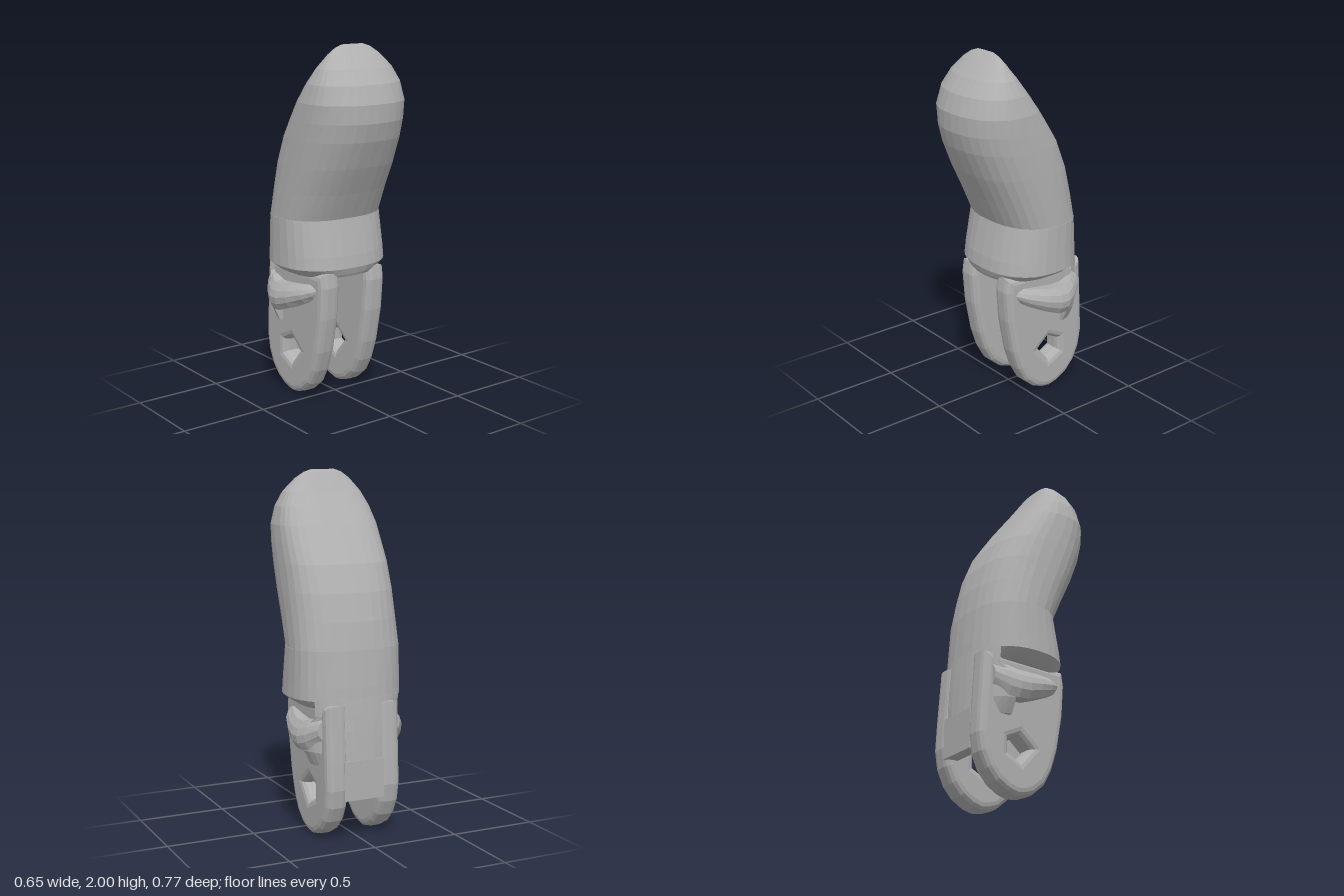
import * as THREE from 'three';

const grey = new THREE.MeshStandardMaterial({ color: 0xb0b0b0, flatShading: true });
grey.name = 'plain grey';

// Closed loft through rings [{ y, pts: [[x, z], ...] }], listed from low to high.
function loft(levels) {
  const pos = [];
  const rings = levels.map(({ y, pts }) => {
    const v = pts.map(([x, z]) => new THREE.Vector2(x, z));
    if (THREE.ShapeUtils.area(v) < 0) v.reverse();
    return { y, v };
  });
  const put = (ring, i) => pos.push(ring.v[i].x, ring.y, ring.v[i].y);
  for (let k = 0; k < rings.length - 1; k++) {
    const a = rings[k], b = rings[k + 1], n = a.v.length;
    for (let i = 0; i < n; i++) {
      const j = (i + 1) % n;
      put(a, i); put(b, i); put(a, j);
      put(a, j); put(b, i); put(b, j);
    }
  }
  [rings[0], rings[rings.length - 1]].forEach((ring, top) => {
    for (const f of THREE.ShapeUtils.triangulateShape(ring.v, [])) {
      const positive = THREE.ShapeUtils.area(f.map((i) => ring.v[i])) > 0;
      const order = positive === (top === 0) ? f : [f[0], f[2], f[1]];
      order.forEach((i) => put(ring, i));
    }
  });
  const g = new THREE.BufferGeometry();
  g.setAttribute('position', new THREE.Float32BufferAttribute(pos, 3));
  g.computeVertexNormals();
  return g;
}

const spow = (v, e) => Math.sign(v) * Math.abs(v) ** e;

// Rounded cross-section with separate squareness for front and back.
function oval([y, front, back, halfWidth, nFront = 2.4, nBack = 2.5]) {
  const mid = (front + back) / 2, depth = (front - back) / 2, pts = [];
  for (let i = 0; i < 32; i++) {
    const a = (i / 32) * Math.PI * 2, e = 2 / (Math.sin(a) > 0 ? nFront : nBack);
    pts.push([halfWidth * spow(Math.cos(a), e), mid + depth * spow(Math.sin(a), e)]);
  }
  return { y, pts };
}

// C-shaped cross-section of the rear wall, open to the front.
function rearSection([y, halfWidth, back, cut]) {
  const n = 2.5, c = -0.1, d = c - back, pts = [];
  const t0 = Math.asin(((c - cut) / d) ** (n / 2));
  for (let i = 0; i <= 18; i++) {
    const t = t0 + (Math.PI - 2 * t0) * (i / 18);
    pts.push([halfWidth * spow(Math.cos(t), 2 / n), c - d * Math.sin(t) ** (2 / n)]);
  }
  pts.push([-0.1, cut], [-0.085, -0.31], [0.085, -0.31], [0.1, cut]);
  return { y, pts };
}

export function createModel() {
  const model = new THREE.Group();
  const add = (name, geometry) => {
    const mesh = new THREE.Mesh(geometry, grey);
    mesh.name = name;
    model.add(mesh);
    return mesh;
  };

  // Bent fingertip: y, front z, back z, half width, squareness
  add('fingertip', loft([
    [1.05, 0.145, -0.33, 0.314],
    [1.2, 0.215, -0.305, 0.312],
    [1.35, 0.29, -0.265, 0.31, 2.4, 2.7],
    [1.5, 0.355, -0.2, 0.306, 2.3, 2.9],
    [1.6, 0.383, -0.133, 0.302, 2.2, 3],
    [1.7, 0.385, -0.065, 0.296, 2.2, 3],
    [1.8, 0.35, 0.008, 0.27, 2.2, 3],
    [1.88, 0.29, 0.066, 0.228, 2.2, 3],
    [1.95, 0.22, 0.11, 0.165, 2.2, 2.6],
    [1.985, 0.18, 0.132, 0.115, 2.2, 2.4],
    [2, 0.16, 0.145, 0.07],
  ].map(oval)));

  // Collar beneath the bend
  add('collar', loft([
    [0.73, 0.18, -0.345, 0.25],
    [0.745, 0.188, -0.35, 0.275],
    [0.78, 0.2, -0.352, 0.322],
    [0.85, 0.19, -0.348, 0.32],
    [1.05, 0.146, -0.331, 0.316],
  ].map(oval)));

  // Rear wall joining the two legs
  add('rearWall', loft([
    [0.42, 0.25, -0.378, -0.2],
    [0.5, 0.292, -0.373, -0.2],
    [0.62, 0.302, -0.366, -0.22],
    [0.7, 0.306, -0.36, -0.28],
    [0.79, 0.318, -0.352, -0.28],
  ].map(rearSection)));
  const bridge = add('rearBridge', new THREE.BoxGeometry(0.24, 0.22, 0.07));
  bridge.position.set(0, 0.345, -0.342);

  // Hinge leg outline (z, y) with the pin hole
  const outline = [
    [0.17, 0.76], [0.182, 0.68], [0.168, 0.5], [0.13, 0.3], [0.09, 0.18], [0.04, 0.09],
    [-0.03, 0.03], [-0.09, 0.007], [-0.14, 0], [-0.2, 0.015], [-0.27, 0.055], [-0.325, 0.115],
    [-0.365, 0.2], [-0.382, 0.3], [-0.375, 0.45], [-0.355, 0.76],
  ].map(([z, y]) => new THREE.Vector2(z, y));
  const legShape = new THREE.Shape(outline);
  legShape.holes.push(new THREE.Path([
    [-0.055, 0.27], [-0.125, 0.33], [-0.195, 0.295], [-0.195, 0.225], [-0.125, 0.19],
  ].map(([z, y]) => new THREE.Vector2(z, y))));

  // Side ridge: z, bottom y, top y, outer x
  const ridge = [
    [-0.31, 0.57, 0.69, 0.25], [-0.24, 0.51, 0.68, 0.3], [-0.19, 0.5, 0.66, 0.322],
    [-0.13, 0.505, 0.66, 0.326], [-0.05, 0.535, 0.67, 0.312], [0.05, 0.58, 0.685, 0.277],
    [0.1, 0.61, 0.69, 0.245], [0.135, 0.645, 0.68, 0.21],
  ];

  for (const [side, s] of [['left', 1], ['right', -1]]) {
    const leg = new THREE.ExtrudeGeometry(legShape, {
      depth: 0.05, bevelThickness: 0.04, bevelSize: 0.04, bevelOffset: -0.04, bevelSegments: 3,
    });
    leg.translate(0, 0, -0.025).rotateY(-Math.PI / 2).translate(s * 0.157, 0, 0);
    add(side + 'Leg', leg);

    const fin = loft(ridge.map(([z, y0, y1, x]) => ({
      y: z,
      pts: [[0.18, y0], [x - 0.03, y0], [x - 0.006, y0 * 0.75 + y1 * 0.25], [x, (y0 + y1) / 2],
        [x - 0.012, y0 * 0.25 + y1 * 0.75], [x - 0.04, y1], [0.18, y1]].map(([px, py]) => [s * px, -py]),
    })));
    add(side + 'Ridge', fin.rotateX(Math.PI / 2));
  }
  return model;
}
